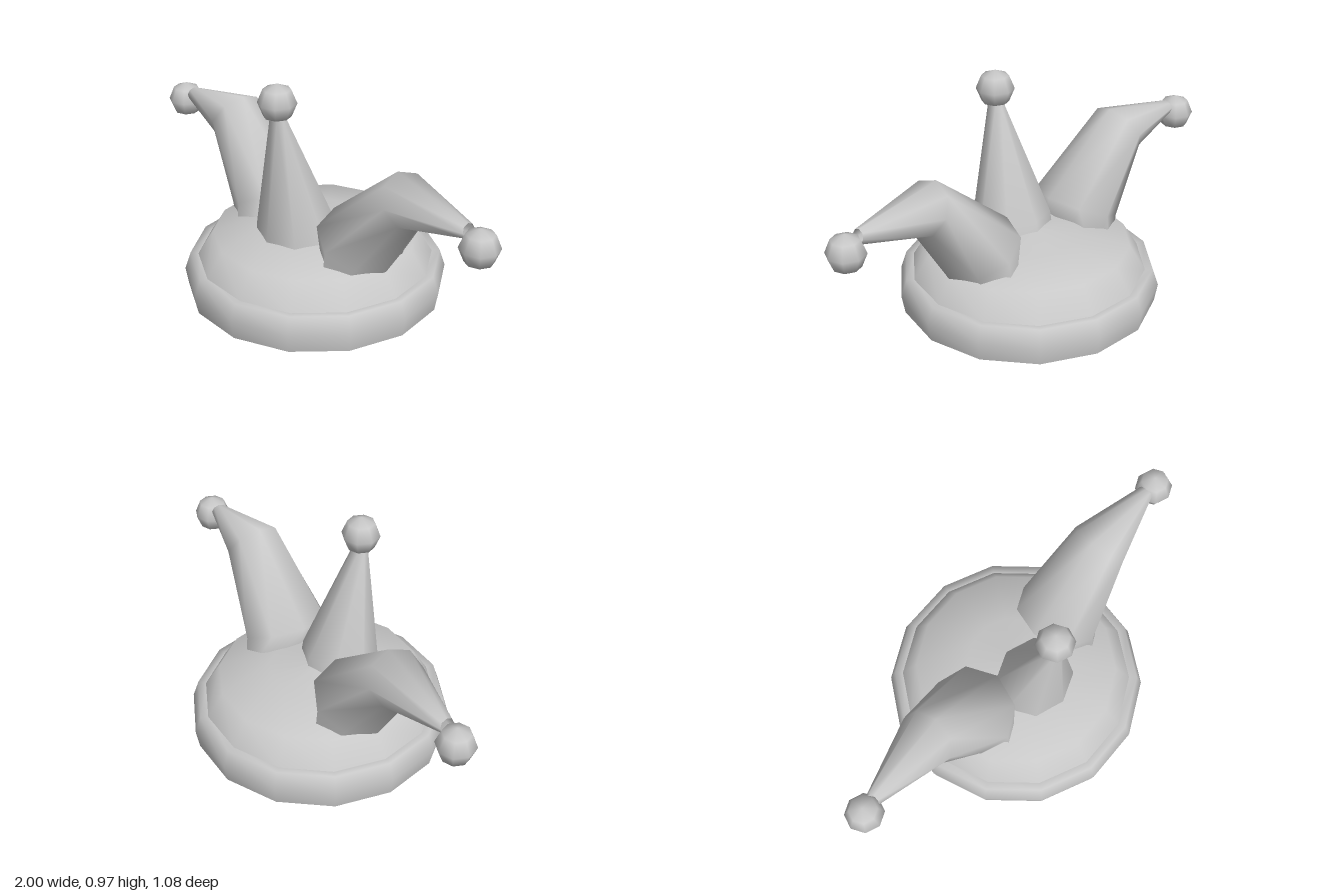
import * as THREE from 'three';

const SIDES = 14;

export function createModel() {
  const model = new THREE.Group();
  const felt = new THREE.MeshStandardMaterial({ color: 0xc8c8c8, side: THREE.DoubleSide });
  felt.name = 'grey felt';

  const add = (parent, name, geometry) => {
    const mesh = new THREE.Mesh(geometry, felt);
    mesh.name = name;
    parent.add(mesh);
    return mesh;
  };

  const lathe = (profile) =>
    new THREE.LatheGeometry(profile.map(([r, y]) => new THREE.Vector2(r, y)), SIDES, Math.PI / 2);

  // Rounded head band with its rolled-in lip
  add(model, 'headBand', lathe([[0.541, 0], [0.555, 0.08], [0.53, 0.155], [0.49, 0.15]]));

  // Hollow underneath: flat lining and sloping inner wall
  add(model, 'lining', lathe([[0, 0.12], [0.47, 0.12], [0.541, 0]]));

  // Shallow cap above the band
  add(model, 'cap', lathe([[0.5, 0.145], [0.43, 0.26], [0.21, 0.3], [0, 0.325]]));

  // Loft through eight-sided rings; each ring is [outer u, y, inner u, y, half width]
  function hornGeometry(rings, n = 8) {
    const positions = [];
    const index = [];
    rings.forEach(([au, ay, bu, by, w], i) => {
      for (let j = 0; j < n; j++) {
        const t = (j / n) * Math.PI * 2;
        const k = (1 - Math.cos(t)) / 2;
        positions.push(au + (bu - au) * k, ay + (by - ay) * k, -w * Math.sin(t));
        if (i === rings.length - 1) continue;
        const a = i * n + j;
        const b = i * n + ((j + 1) % n);
        index.push(a, b, b + n, a, b + n, a + n);
      }
    });
    const g = new THREE.BufferGeometry();
    g.setAttribute('position', new THREE.Float32BufferAttribute(positions, 3));
    g.setIndex(index);
    g.computeVertexNormals();
    return g;
  }

  // A horn with its bell, built along +x and turned into place
  function addHorn(name, rings, bell, turn) {
    const horn = new THREE.Group();
    horn.name = name;
    add(horn, name + 'Cone', hornGeometry(rings));
    add(horn, name + 'Bell', new THREE.SphereGeometry(0.08, 8, 4)).position.set(bell[0], bell[1], 0);
    horn.rotation.y = turn;
    model.add(horn);
  }

  // Drooping side horns, just poking through the lining
  const sideRings = [
    [0.34, 0.1, 0.22, 0.15, 0.21],
    [0.445, 0.26, 0.12, 0.41, 0.19],
    [0.6, 0.51, 0.485, 0.71, 0.125],
    [0.87, 0.58, 0.855, 0.64, 0.032],
  ];
  addHorn('leftHorn', sideRings, [0.92, 0.565], 0);
  addHorn('rightHorn', sideRings, [0.92, 0.565], Math.PI);

  // Upright front horn
  const frontRings = [
    [0.262, 0.2, -0.075, 0.22, 0.185],
    [0.26, 0.3, -0.05, 0.36, 0.175],
    [0.225, 0.825, 0.16, 0.825, 0.032],
  ];
  addHorn('frontHorn', frontRings, [0.195, 0.89], -Math.PI / 2);

  return model;
}
